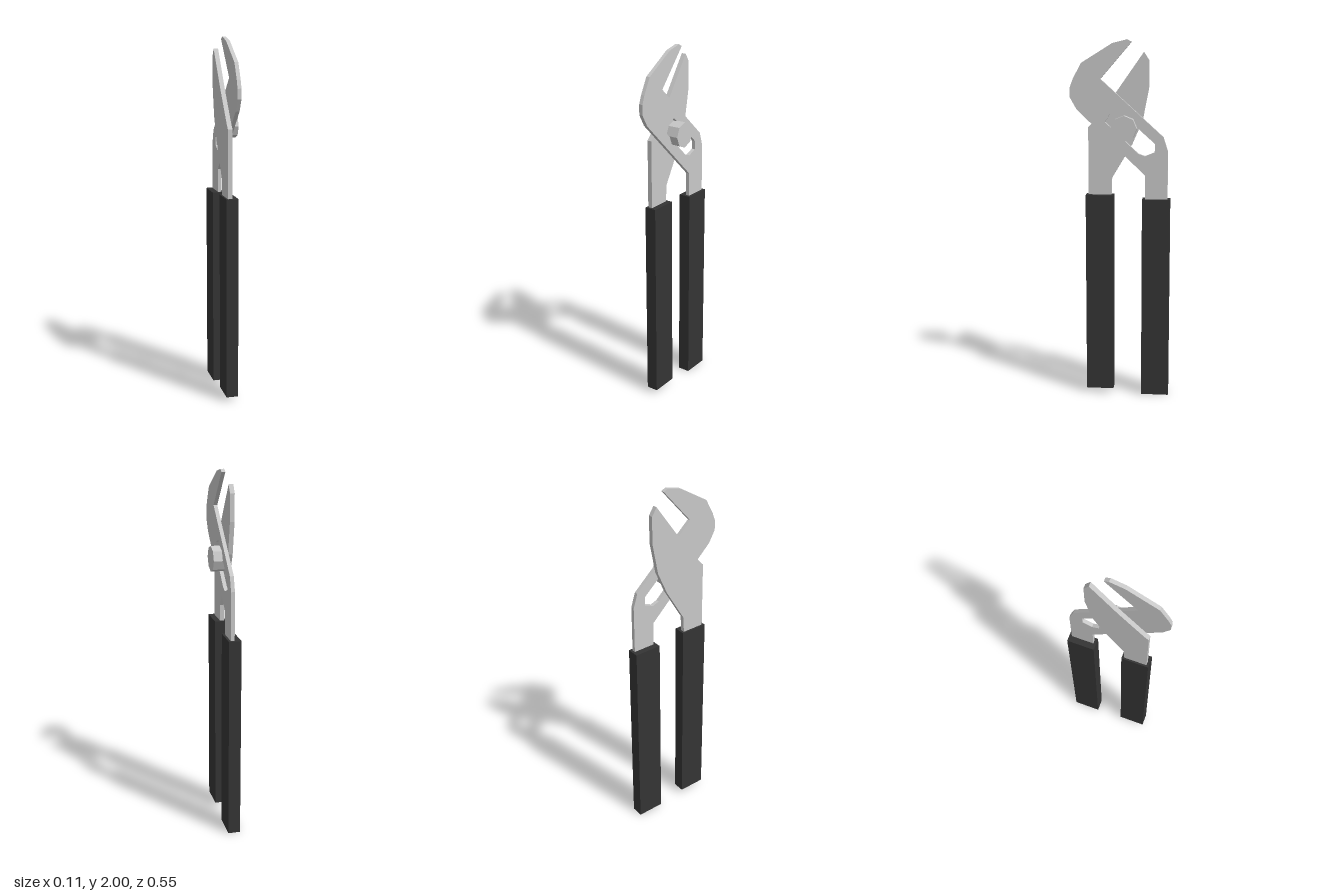
import * as THREE from 'three';

const steel = new THREE.MeshStandardMaterial({ color: 0xc8c8c8 });
steel.name = 'steel';
const rubber = new THREE.MeshStandardMaterial({ color: 0x343434 });
rubber.name = 'darkRubber';

// Flat plate from a [z, y] outline, spanning x0..x1
function plate(name, outline, x0, x1, hole) {
  const toPoints = (list) => list.map(([z, y]) => new THREE.Vector2(0.003 - z, y));
  const shape = new THREE.Shape(toPoints(outline));
  if (hole) shape.holes.push(new THREE.Path(toPoints(hole)));
  const geometry = new THREE.ExtrudeGeometry(shape, { depth: x1 - x0, bevelEnabled: false });
  geometry.rotateY(Math.PI / 2).translate(x0, 0, 0);
  const mesh = new THREE.Mesh(geometry, steel);
  mesh.name = name;
  return mesh;
}

// Square-cut handle sleeve between two corners
function grip(name, min, max) {
  const size = max.map((v, i) => v - min[i]);
  const mesh = new THREE.Mesh(new THREE.BoxGeometry(...size), rubber);
  mesh.position.set(...max.map((v, i) => (v + min[i]) / 2));
  mesh.name = name;
  return mesh;
}

export function createModel() {
  const group = new THREE.Group();
  group.name = 'slipJointPliers';

  // Hooked jaw with the adjustment slot
  group.add(plate('slottedJaw', [
    [-0.06, 1.987], [-0.035, 2.0], [0.045, 1.98], [0.215, 1.875], [0.26, 1.79],
    [0.277, 1.745], [0.277, 1.69], [0.24, 1.625], [-0.135, 1.267], [-0.135, 1.1],
    [-0.26, 1.1], [-0.26, 1.4], [-0.235, 1.478], [0.11, 1.79],
  ], -0.018, 0.003, [
    [0.085, 1.558], [0.06, 1.6], [0.008, 1.617], [-0.188, 1.442],
    [-0.188, 1.394], [-0.135, 1.373], [-0.098, 1.386],
  ]));

  // Straight jaw lying behind it
  group.add(plate('straightJaw', [
    [-0.125, 1.934], [-0.153, 1.89], [-0.153, 1.743], [-0.119, 1.565],
    [-0.062, 1.435], [0.05, 1.246], [0.055, 1.1], [0.18, 1.1],
    [0.18, 1.527], [0.157, 1.55], [0.025, 1.72],
  ], -0.043, -0.018));

  // Octagonal pivot bolt
  const boltGeometry = new THREE.CylinderGeometry(0.07, 0.07, 0.07, 8).toNonIndexed();
  boltGeometry.computeVertexNormals();
  const bolt = new THREE.Mesh(boltGeometry, steel);
  bolt.rotation.z = -Math.PI / 2;
  bolt.position.set(0.017, 1.526, -0.025);
  bolt.name = 'pivotBolt';
  group.add(bolt);

  // Handle sleeves
  group.add(grip('frontGrip', [-0.053, 0.027, 0.037], [0.013, 1.155, 0.19]));
  group.add(grip('rearGrip', [-0.052, 0, -0.277], [0.016, 1.135, -0.123]));

  return group;
}
